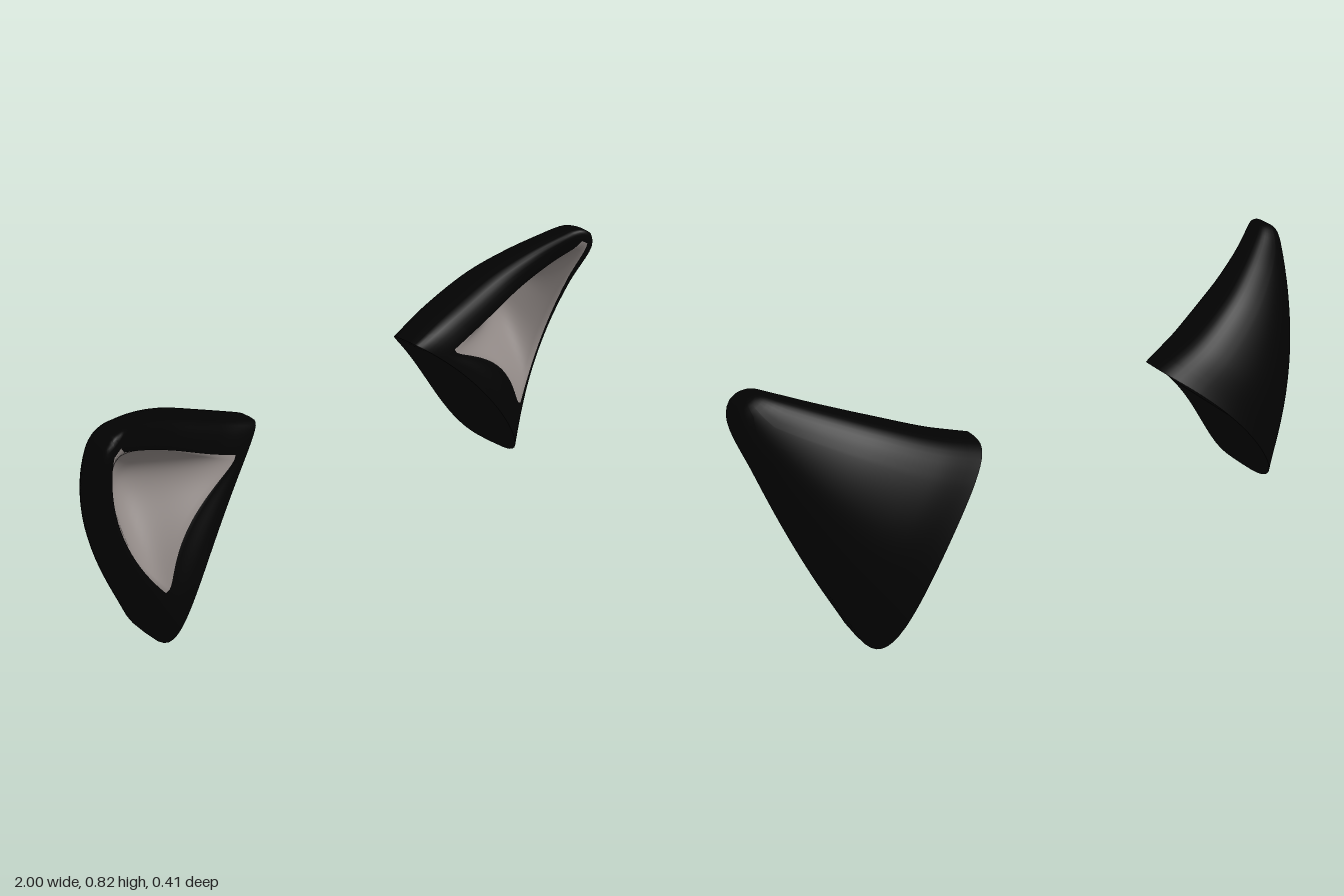
import * as THREE from 'three';

const black = new THREE.MeshStandardMaterial({ color: 0x020202 });
black.name = 'black fur';
const grey = new THREE.MeshStandardMaterial({ color: 0x938b88 });
grey.name = 'inner ear grey';

const { lerp, smoothstep, clamp } = THREE.MathUtils;
const curve = (pts) => new THREE.CatmullRomCurve3(pts.map((p) => new THREE.Vector3(...p)));

// Edges of one ear, from the base corners up to the shared tip
const outerEdge = curve([[0.772, 0, 0], [0.868, 0.24, 0.02], [0.927, 0.42, 0.055], [0.97, 0.59, 0.108],
  [0.998, 0.735, 0.168], [0.985, 0.787, 0.172], [0.95, 0.814, 0.17]]);
const innerEdge = curve([[0.338, 0.545, -0.005], [0.47, 0.605, -0.01], [0.635, 0.69, 0.02], [0.765, 0.752, 0.075],
  [0.88, 0.803, 0.14], [0.915, 0.816, 0.16], [0.95, 0.814, 0.17]]);

// Cross-section at height t: edge points, width, and closing factor at the tip
function section(t) {
  const a = outerEdge.getPointAt(t), b = innerEdge.getPointAt(t);
  const k = Math.max(0, (t - 0.88) / 0.12);
  return { t, a, b, width: Math.max(a.distanceTo(b), 1e-5), close: Math.sqrt(Math.max(0, 1 - k * k)) };
}

// Point on the ear: u runs from outer to inner edge, with front and back depth
function shell(s, u) {
  const p = s.a.clone().lerp(s.b, u);
  const bulge = 0.045 * 4 * u * (1 - u) * (1 - s.t);
  p.x += 0.78 * bulge;
  p.y += 0.62 * bulge;
  const round = 2 * Math.sqrt(Math.max(0, u * (1 - u)));
  const front = 0.045 + (lerp(0.185, 0.07, u) - 0.045) * (1 - s.t) ** 2.5
    + 0.1 * u * Math.sin(Math.PI * s.t) * (1 - s.t);
  const back = lerp(lerp(0.24, 0.16, u), 0.05, s.t);
  return {
    p,
    front: p.z + front * s.close * round ** 0.48,
    back: p.z - back * s.close * round ** lerp(0.68, 0.5, s.t),
  };
}

const RIM = 8, POCKET = 28, SPAN = RIM * 2 + POCKET, COLS = SPAN * 2;
const LOWER = 8, MIDDLE = 30, UPPER = 8, ROWS = LOWER + MIDDLE + UPPER;
const TOP = 0.89;

// Position across the ear of column k: outer rim, pocket, inner rim
function across(k, s) {
  const ma = Math.min(0.05 + 0.09 * (1 - s.t) ** 4, 0.42 * s.width) / s.width;
  const mb = Math.min(lerp(0.1, 0.07, s.t), 0.42 * s.width) / s.width;
  if (k < RIM) return ma * (k / RIM) ** 2;
  if (k <= RIM + POCKET) return lerp(ma, 1 - mb, (k - RIM) / POCKET);
  return 1 - mb * ((SPAN - k) / RIM) ** 2;
}

function build(points, faces, side) {
  const g = new THREE.BufferGeometry();
  const pos = points.flatMap((p) => [p.x * side, p.y, p.z]);
  g.setAttribute('position', new THREE.Float32BufferAttribute(pos, 3));
  const index = [];
  faces.forEach((list, m) => {
    g.addGroup(index.length, list.length, m);
    for (let i = 0; i < list.length; i += 3) {
      const [a, b, c] = list.slice(i, i + 3);
      if (side > 0) index.push(a, b, c);
      else index.push(a, c, b);
    }
  });
  g.setIndex(index);
  g.computeVertexNormals();
  return g;
}

// Ear wall: closed loops with a hollow pocket in the front
function earGeometry(side) {
  const points = [], faces = [[], []];
  for (let r = 0; r <= ROWS; r++) {
    for (let c = 0; c < COLS; c++) {
      const k = c <= SPAN ? c : COLS - c;
      const w = clamp((k - RIM) / POCKET, 0, 1);
      // Height, following the arched lower border of the pocket with its rounded corners
      const start = lerp(0.11, 0.045, w) + 0.075 * 4 * w * (1 - w) + 0.03 * Math.abs(2 * w - 1) ** 14;
      let t;
      if (r <= LOWER) t = start * r / LOWER;
      else if (r <= LOWER + MIDDLE) t = lerp(start, TOP, (r - LOWER) / MIDDLE);
      else t = lerp(TOP, 1, Math.sin((r - LOWER - MIDDLE) / UPPER * Math.PI / 2));
      const s = section(t);
      const { p, front, back } = shell(s, across(k, s));
      const h = clamp((t - start) / (TOP - start), 0, 1);
      const hollow = 0.62 * Math.max(0, Math.sin(Math.PI * w)) ** 0.8
        * smoothstep(h, -0.08, 0.45) * (1 - smoothstep(h, 0.6, 1));
      const rise = r > LOWER ? 1 : smoothstep(r / LOWER, 0.3, 1);
      points.push(p.setZ(c <= SPAN ? lerp(front, back, hollow * rise) : back));
    }
  }
  for (let r = 0; r < ROWS; r++) {
    for (let c = 0; c < COLS; c++) {
      const a = r * COLS + c, b = r * COLS + (c + 1) % COLS, d = a + COLS, e = b + COLS;
      const inner = r >= LOWER && r < LOWER + MIDDLE && c >= RIM && c < RIM + POCKET;
      faces[inner ? 1 : 0].push(a, d, b, b, d, e);
    }
  }
  return build(points, faces, side);
}

// Curved underside that closes the ear at its base
function baseGeometry(side) {
  const V = 4, points = [], faces = [[]], s = section(0);
  for (let i = 0; i <= SPAN; i++) {
    const { p, front, back } = shell(s, across(i, s));
    for (let j = 0; j <= V; j++) points.push(p.clone().setZ(lerp(front, back, j / V)));
  }
  for (let i = 0; i < SPAN; i++) {
    for (let j = 0; j < V; j++) {
      const a = i * (V + 1) + j, b = a + V + 1;
      faces[0].push(a, b, a + 1, a + 1, b, b + 1);
    }
  }
  return build(points, faces, side);
}

export function createModel() {
  const model = new THREE.Group();
  model.name = 'earPair';
  for (const side of [1, -1]) {
    const ear = new THREE.Group();
    ear.name = side > 0 ? 'leftEar' : 'rightEar';
    const wall = new THREE.Mesh(earGeometry(side), [black, grey]);
    wall.name = 'earShell';
    const base = new THREE.Mesh(baseGeometry(side), [black]);
    base.name = 'earBase';
    ear.add(wall, base);
    model.add(ear);
  }
  return model;
}
